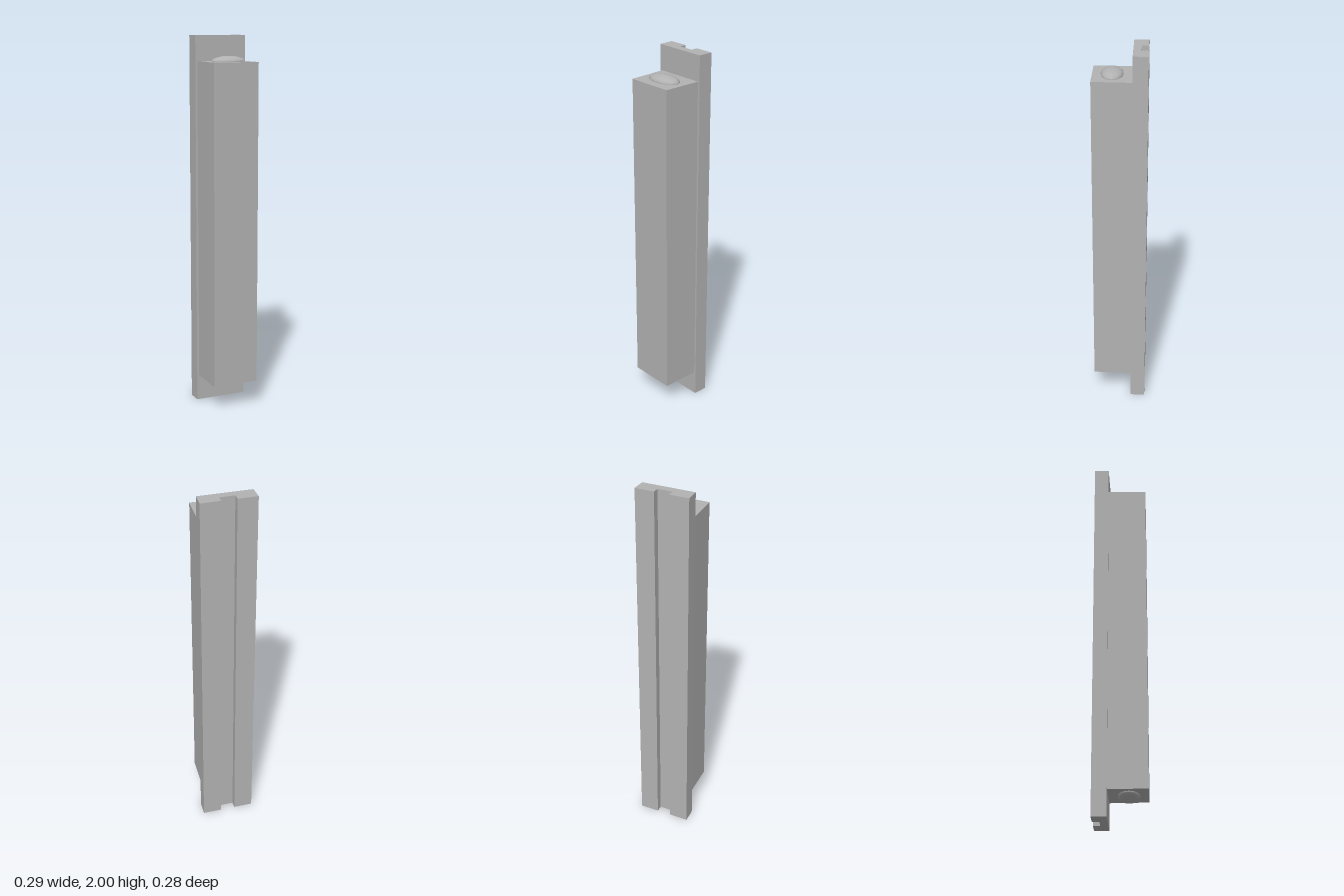
import * as THREE from 'three';

// Vertical prism from a plan outline of [x, z] points
function prism(name, outline, y0, y1, material) {
  const shape = new THREE.Shape(outline.map(([x, z]) => new THREE.Vector2(x, -z)));
  const geometry = new THREE.ExtrudeGeometry(shape, { depth: y1 - y0, bevelEnabled: false });
  geometry.rotateX(-Math.PI / 2).translate(0, y0, 0);
  const mesh = new THREE.Mesh(geometry, material);
  mesh.name = name;
  return mesh;
}

// Completes a half outline by mirroring it across x = 0
const mirrored = (half) => [...half, ...half.map(([x, z]) => [-x, z]).reverse()];

export function createModel() {
  const model = new THREE.Group();
  model.name = 'wallColumn';
  const grey = new THREE.MeshStandardMaterial({ color: 0xb2b2b2 });
  grey.name = 'grey';

  // Back plate with a full-height channel in its rear face
  model.add(prism('backPlate', mirrored([
    [0.142, -0.064], [0.144, -0.142], [0.04, -0.142], [0.04, -0.105],
  ]), 0, 2, grey));

  // Slightly tapering body on the front of the plate
  model.add(prism('body', mirrored([[0.125, 0.142], [0.131, -0.064]]), 0.14, 1.865, grey));

  // Shallow oval domes on both ends of the body
  const profile = [[1, 0], [1, 0.008], [0.85, 0.017], [0.6, 0.024], [0.3, 0.029], [0, 0.03]]
    .map(([r, y]) => new THREE.Vector2(r, y));
  const domeGeometry = new THREE.LatheGeometry(profile, 12);
  for (const [name, y, turn] of [['topDome', 1.865, 0], ['bottomDome', 0.14, Math.PI]]) {
    const dome = new THREE.Mesh(domeGeometry, grey);
    dome.name = name;
    dome.scale.set(0.095, 1, 0.057);
    dome.rotation.z = turn;
    dome.position.set(0, y, 0.041);
    model.add(dome);
  }
  return model;
}
